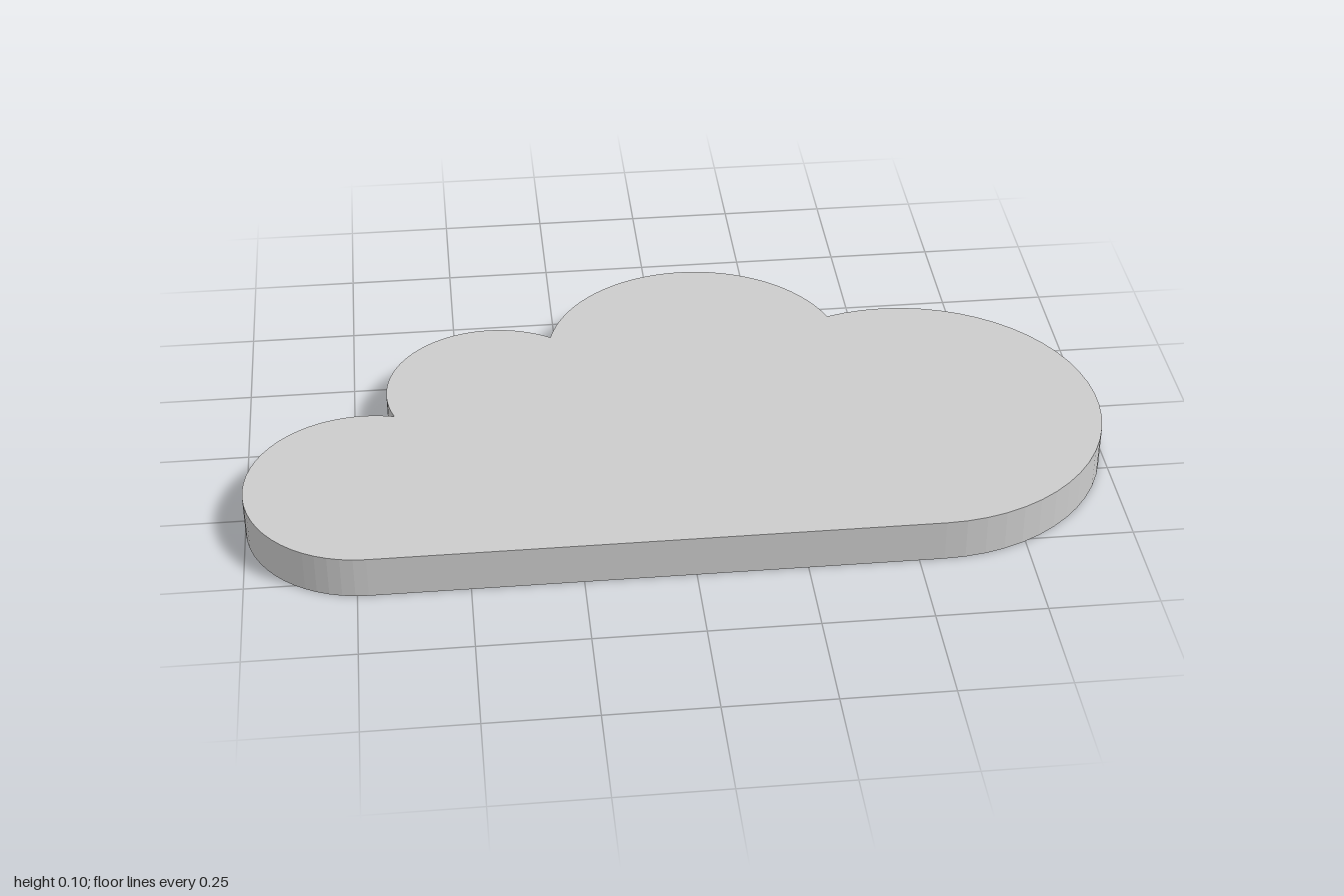
import * as THREE from 'three';

const THICKNESS = 0.1;

// Lobes of the cloud, counter-clockwise from the right end (shape y = -z)
const lobes = [
  { x: 0.557, y: -0.109, r: 0.443 },
  { x: 0.08, y: 0.196, r: 0.359 },
  { x: -0.415, y: 0.08, r: 0.255 },
  { x: -0.725, y: -0.277, r: 0.275 },
];

// Outer crossing point of two neighbouring lobes
function crossing(a, b) {
  const dx = b.x - a.x, dy = b.y - a.y, d = Math.hypot(dx, dy);
  const along = (d * d + a.r * a.r - b.r * b.r) / (2 * d);
  const out = Math.sqrt(a.r * a.r - along * along);
  return { x: a.x + (dx * along + dy * out) / d, y: a.y + (dy * along - dx * out) / d };
}

const angleAt = (lobe, p) => Math.atan2(p.y - lobe.y, p.x - lobe.x);

export function createModel() {
  // Outline: an arc per lobe, closed by the straight bottom edge
  const outline = new THREE.Shape();
  lobes.forEach((lobe, i) => {
    const start = i === 0 ? -Math.PI / 2 : angleAt(lobe, crossing(lobes[i - 1], lobe));
    const end = i === lobes.length - 1 ? Math.PI * 1.5 : angleAt(lobe, crossing(lobe, lobes[i + 1]));
    outline.absarc(lobe.x, lobe.y, lobe.r, start, end, false);
  });
  outline.closePath();

  // Flat slab lying on the ground
  const geometry = new THREE.ExtrudeGeometry(outline, {
    depth: THICKNESS, bevelEnabled: false, curveSegments: 16,
  });
  geometry.rotateX(-Math.PI / 2);

  const slab = new THREE.Mesh(geometry, new THREE.MeshStandardMaterial({ color: 0xcccccc }));
  slab.name = 'cloudSlab';

  const group = new THREE.Group();
  group.name = 'cloud';
  group.add(slab);
  return group;
}
